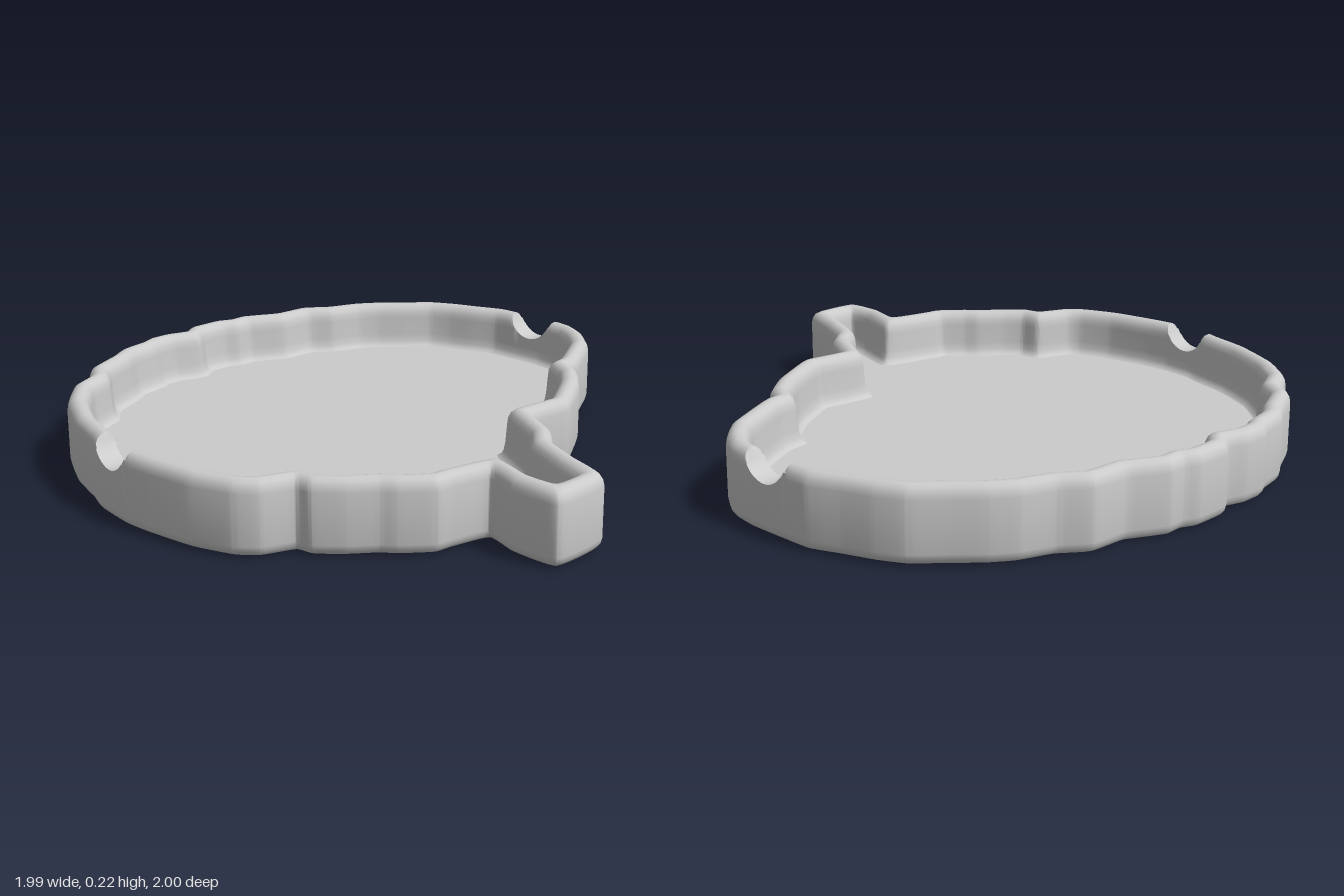
import * as THREE from 'three';
import { toCreasedNormals } from 'three/addons/utils/BufferGeometryUtils.js';

// Outer outline (x, z) in hundredths, clockwise seen from above
const OUTLINE = [
  [-18, -99], [-10, -99], [-3, -97], [2, -100], [14, -100], [19, -98], [25, -98], [31, -95],
  [37, -92], [49, -91], [57, -85], [67, -81], [74, -76], [81, -69], [89, -61], [93, -53],
  [96, -44], [99.5, -34], [99.5, -24], [99, -10], [97, 0], [92, 8], [84, 16], [73, 22],
  [63, 27], [58, 28], [54, 34], [44, 42], [26, 52], [20, 52], [9, 51], [5, 57], [0, 65],
  [-8, 72], [-14, 84], [-21, 99], [-41, 99], [-41, 83], [-38, 73], [-49, 70], [-55, 69],
  [-63, 62], [-66, 58], [-73, 52], [-79, 45], [-80, 40], [-89, 36], [-94, 30], [-98, 17],
  [-99.5, 0], [-99.5, -10], [-97, -24], [-94, -31], [-89, -45], [-80, -61], [-69, -73],
  [-59, -78], [-53, -85], [-40, -91], [-33, -95], [-23, -97],
].map(([x, z]) => new THREE.Vector2(x / 100, z / 100));

// Wall cross-section: [distance inward from the outline, height]
const FLOOR = 0.07;
const PROFILE = [
  [0.03, 0], [0.012, 0.008], [0.003, 0.02], [0, 0.035], [0, 0.185], [0.003, 0.202],
  [0.011, 0.216], [0.024, 0.224], [0.036, 0.225], [0.049, 0.221], [0.06, 0.211],
  [0.067, 0.195], [0.069, 0.175], [0.073, 0.115], [0.077, 0.09], [0.084, 0.076], [0.095, FLOOR],
];
const SAMPLES = OUTLINE.length * 12;

// Outline moved inward with mitred corners, then lightly rounded
function offsetLoop(d) {
  const n = OUTLINE.length;
  const points = OUTLINE.map((p, i) => {
    const a = p.clone().sub(OUTLINE[(i + n - 1) % n]).normalize();
    const b = OUTLINE[(i + 1) % n].clone().sub(p).normalize();
    const m = new THREE.Vector2(-a.y - b.y, a.x + b.x).normalize();
    const k = d / Math.max(0.6, m.x * -a.y + m.y * a.x);
    return new THREE.Vector3(p.x + m.x * k, 0, p.y + m.y * k);
  });
  const curve = new THREE.CatmullRomCurve3(points, true, 'catmullrom', 0.25);
  return Array.from({ length: SAMPLES }, (_, i) => curve.getPoint(i / SAMPLES));
}

// Round finger notches cut down from the rim on both sides
function notchedHeight(y, z) {
  const r = 0.09, dz = z + 0.17;
  return Math.abs(dz) < r ? Math.min(y, 0.24 - Math.sqrt(r * r - dz * dz)) : y;
}

function wallGeometry() {
  const positions = [], index = [];
  for (const [d, y] of PROFILE) {
    for (const p of offsetLoop(d)) positions.push(p.x, notchedHeight(y, p.z), p.z);
  }
  for (let j = 0; j < PROFILE.length - 1; j++) {
    for (let i = 0; i < SAMPLES; i++) {
      const k = (i + 1) % SAMPLES;
      const a = j * SAMPLES + i, b = j * SAMPLES + k;
      const c = b + SAMPLES, e = a + SAMPLES;
      index.push(a, c, b, a, e, c);
    }
  }
  const geometry = new THREE.BufferGeometry();
  geometry.setAttribute('position', new THREE.Float32BufferAttribute(positions, 3));
  geometry.setIndex(index);
  return toCreasedNormals(geometry, 0.7);
}

// Flat sheet filling an offset loop, facing up (1) or down (-1)
function sheetGeometry(d, y, facing) {
  const shape = new THREE.Shape(offsetLoop(d).map(p => new THREE.Vector2(p.x, -facing * p.z)));
  return new THREE.ShapeGeometry(shape).rotateX(-facing * Math.PI / 2).translate(0, y, 0);
}

export function createModel() {
  const group = new THREE.Group();
  group.name = 'brainTray';
  const material = new THREE.MeshStandardMaterial({ color: 0xcccccc });
  const add = (name, geometry) => {
    const mesh = new THREE.Mesh(geometry, material);
    mesh.name = name;
    group.add(mesh);
  };
  add('wall', wallGeometry());
  add('floor', sheetGeometry(0.09, FLOOR, 1));
  add('underside', sheetGeometry(0.03, 0, -1));
  return group;
}
